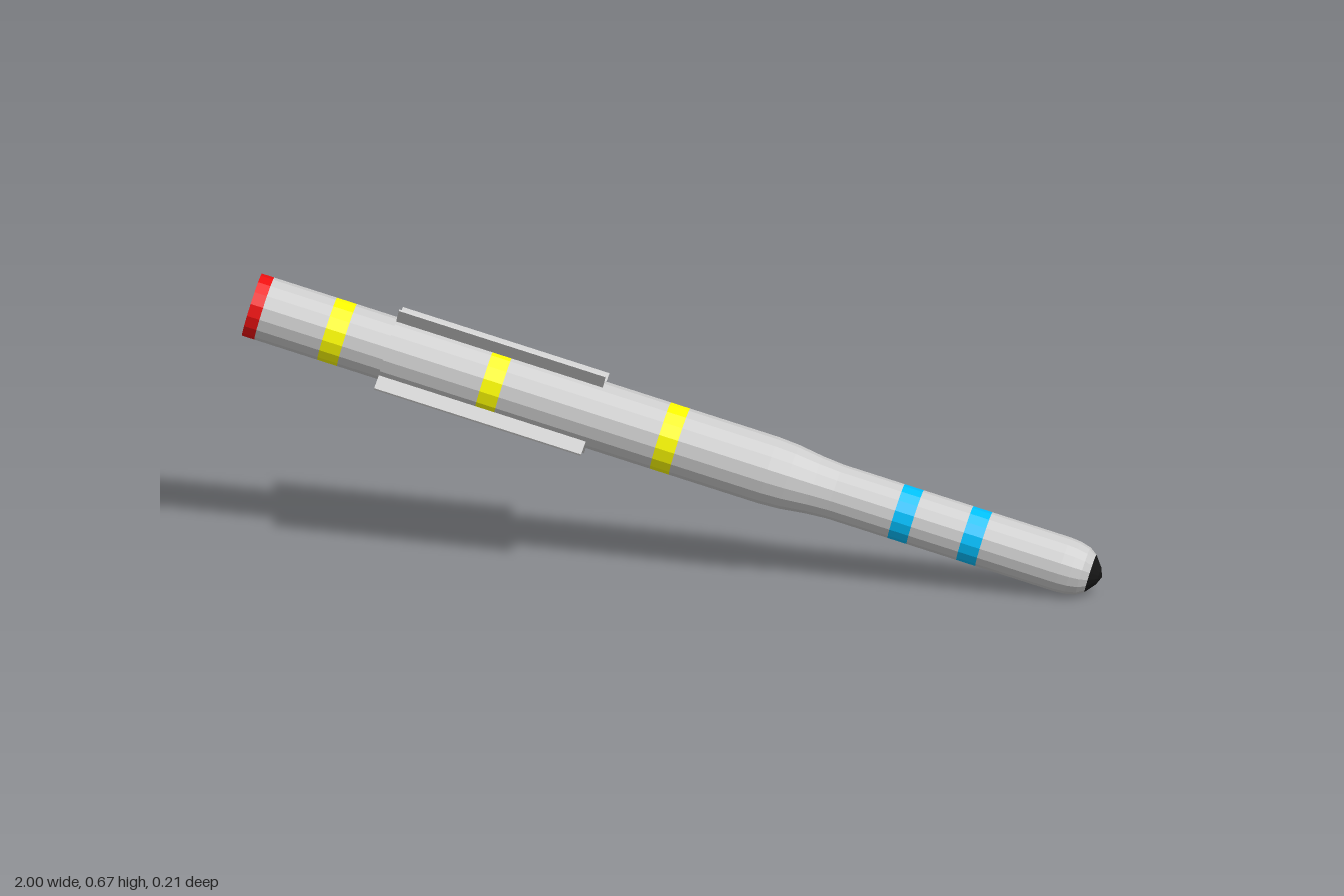
import * as THREE from 'three';

const paint = (color) => new THREE.MeshStandardMaterial({ color, flatShading: true });
const GREY = paint(0xcccccc), RED = paint(0xee1010), YELLOW = paint(0xffff00);
const CYAN = paint(0x00c0ff), BLACK = paint(0x161616);

export function createModel() {
  const root = new THREE.Group();
  root.name = 'glideBomb';

  // Local frame: x runs from tail (0) to nose (2.06)
  const body = new THREE.Group();
  body.name = 'body';
  body.rotation.set(0, -0.0075, THREE.MathUtils.degToRad(-15.7), 'YZX');
  body.position.set(-0.98, 0.603, -0.005);
  root.add(body);

  const add = (name, geometry, material) => {
    const mesh = new THREE.Mesh(geometry, material);
    mesh.name = name;
    body.add(mesh);
    return mesh;
  };

  // 16-sided turned section from [position along axis, radius] pairs
  const turned = (name, profile, material) => {
    const points = profile.map(([u, r]) => new THREE.Vector2(r, u));
    return add(name, new THREE.LatheGeometry(points, 16).rotateZ(-Math.PI / 2), material);
  };

  // Tail, main tube and forward tube, split around the painted bands
  const tail = 0.075, main = 0.08, fore = 0.065;
  turned('tailPlate', [[0, 0], [0, tail]], GREY);
  turned('tailBand', [[0, tail], [0.03, tail]], RED);
  turned('tailTubeRear', [[0.03, tail], [0.182, tail]], GREY);
  turned('yellowBandRear', [[0.182, tail], [0.23, tail]], YELLOW);
  turned('tailTubeFront', [[0.23, tail], [0.33, tail], [0.33, main]], GREY);
  turned('mainTubeRear', [[0.33, main], [0.563, main]], GREY);
  turned('yellowBandMiddle', [[0.563, main], [0.609, main]], YELLOW);
  turned('mainTubeMiddle', [[0.609, main], [0.988, main]], GREY);
  turned('yellowBandFront', [[0.988, main], [1.034, main]], YELLOW);
  turned('shoulder', [[1.034, main], [1.25, main], [1.3, 0.077], [1.36, 0.069], [1.41, fore], [1.558, fore]], GREY);
  turned('blueBandRear', [[1.558, fore], [1.604, fore]], CYAN);
  turned('foreTube', [[1.604, fore], [1.724, fore]], GREY);
  turned('blueBandFront', [[1.724, fore], [1.77, fore]], CYAN);
  turned('nose', [[1.77, fore], [1.96, fore], [1.985, 0.063], [2.01, 0.057], [2.028, 0.045]], GREY);
  turned('seekerWindow', [[2.028, 0.045], [2.048, 0.02], [2.056, 0]], BLACK);

  // Folded fins: two pairs, each repeated half a turn round the axis
  const finPairs = [
    { inner: [0.069, 0.01], tip: [0.113, 0.036] },
    { inner: [0.041, -0.05], tip: [0.065, -0.103] },
  ];
  finPairs.forEach(({ inner, tip }, i) => {
    for (const s of [1, -1]) {
      const dy = s * (tip[0] - inner[0]), dz = s * (tip[1] - inner[1]);
      const fin = add(`fin${i + 1}${s > 0 ? 'Upper' : 'Lower'}`,
        new THREE.BoxGeometry(0.5, Math.hypot(dy, dz), 0.005), GREY);
      fin.position.set(0.58, s * (tip[0] + inner[0]) / 2, s * (tip[1] + inner[1]) / 2);
      fin.rotation.x = Math.atan2(dz, dy);
    }
  });

  // Row of small lugs along the back side
  const tilt = THREE.MathUtils.degToRad(20);
  const lugs = [[0.075, tail], [0.16, tail], [0.664, main], [0.795, main], [0.915, main], [1.63, fore]];
  lugs.forEach(([u, r], i) => {
    const lug = add(`lug${i + 1}`, new THREE.BoxGeometry(0.045, 0.023, 0.016), BLACK);
    lug.position.set(u, -r * Math.sin(tilt), -r * Math.cos(tilt));
    lug.rotation.x = -tilt;
  });

  return root;
}
